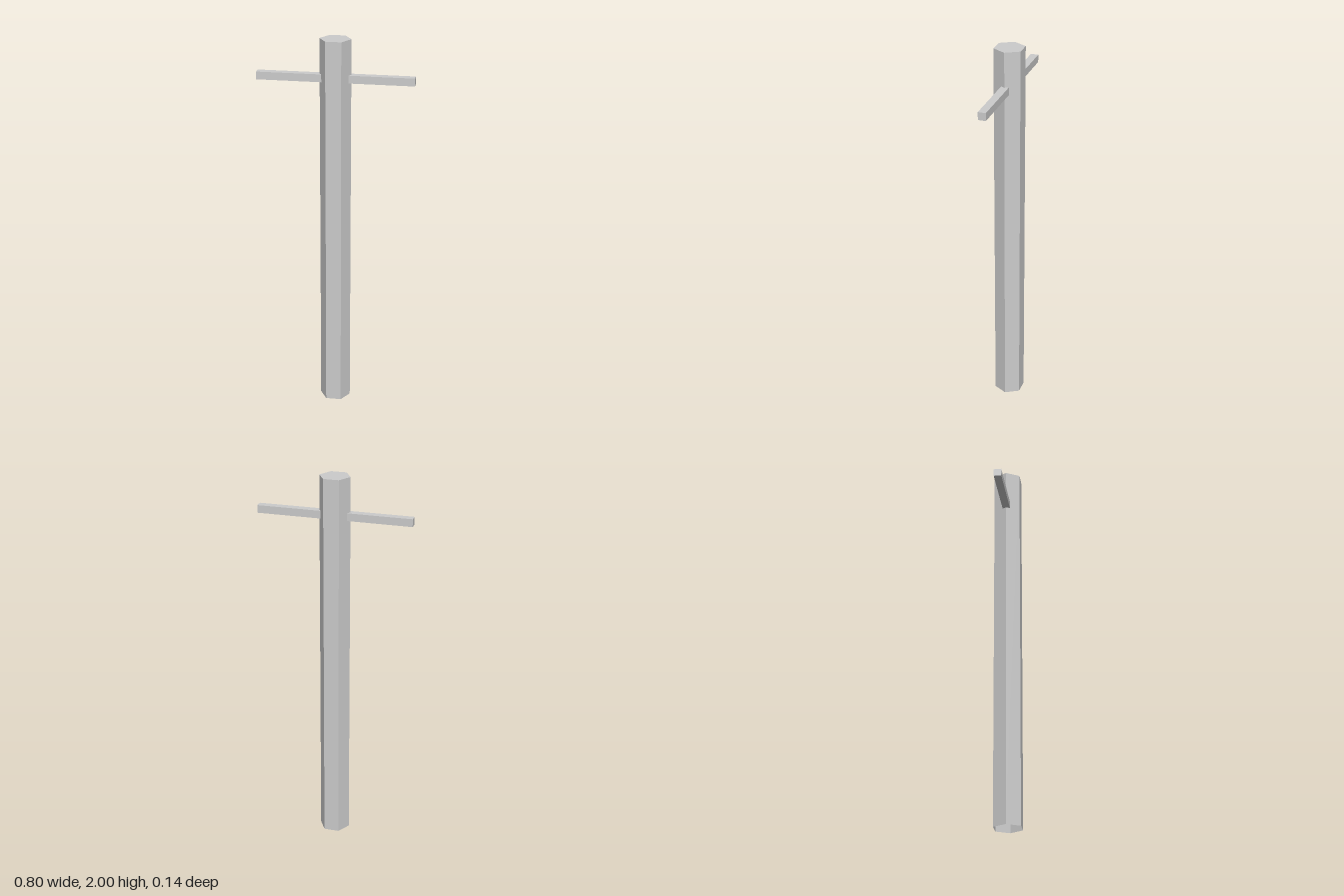
import * as THREE from 'three';

export function createModel() {
  const group = new THREE.Group();
  const radius = 0.08, height = 2;
  const material = new THREE.MeshStandardMaterial({ color: 0xcccccc, flatShading: true, side: THREE.DoubleSide });

  const add = (name, geometry, y) => {
    const mesh = new THREE.Mesh(geometry, material);
    mesh.name = name;
    mesh.position.y = y;
    group.add(mesh);
  };

  // Hexagonal post, hollow and open at the bottom, with corners on the x axis
  add('post', new THREE.CylinderGeometry(radius, radius, height, 6, 1, true, Math.PI / 6), height / 2);

  // Flat cap closing the top of the post
  add('postCap', new THREE.CircleGeometry(radius, 6).rotateX(-Math.PI / 2), height);

  // Square crossbar running through the post
  add('crossbar', new THREE.BoxGeometry(0.8, 0.04, 0.04), 1.8);

  return group;
}
